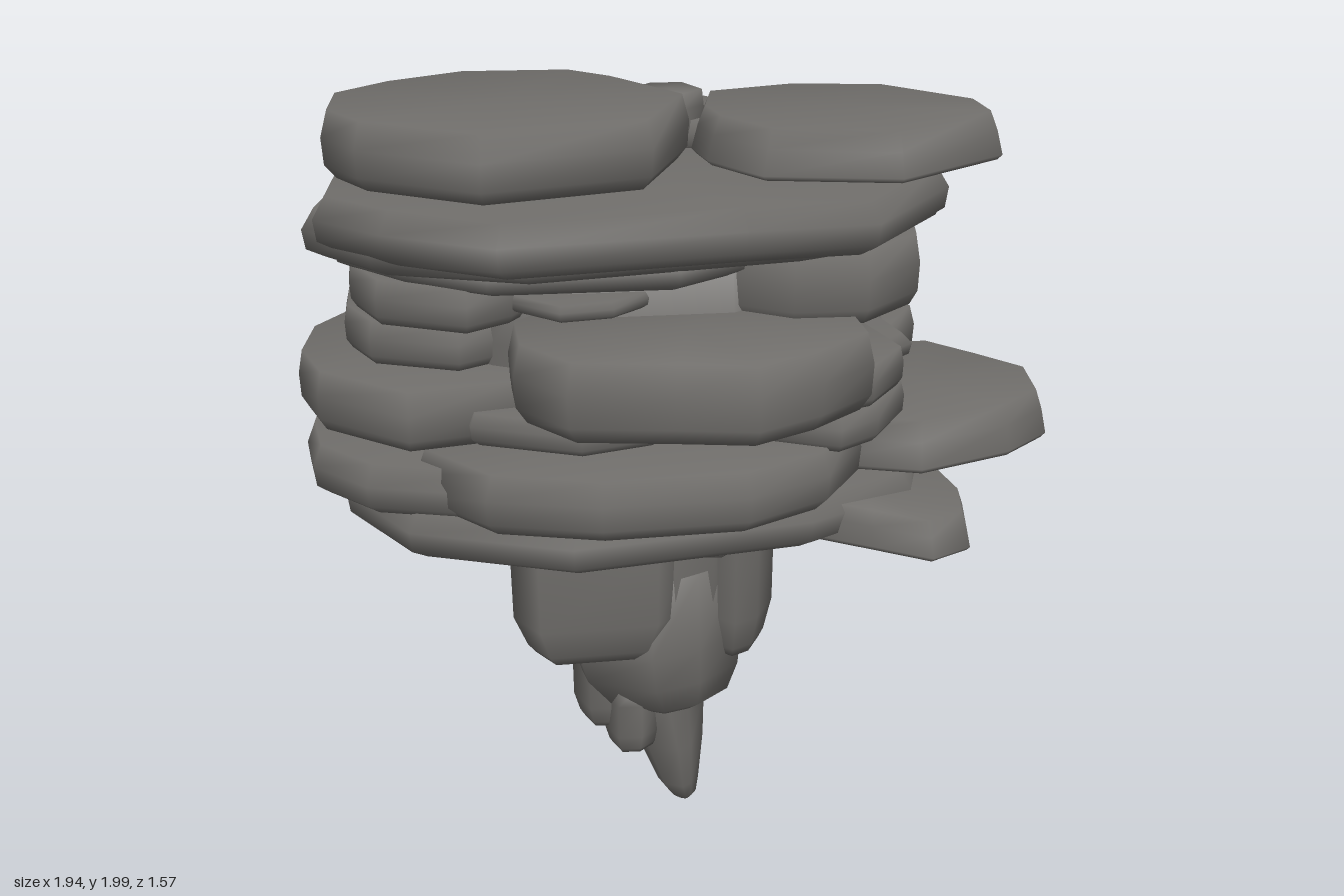
import * as THREE from 'three';

const stone = new THREE.MeshStandardMaterial({ color: 0x706e6b });
stone.name = 'stone grey';

// Skins an [x, z] outline through layers of [y, scale, shiftX, shiftZ]; tilt is the rise along x and z
function loft(name, outline, layers, tilt = [0, 0]) {
  const n = outline.length;
  let area = 0;
  outline.forEach(([x, z], i) => {
    const [u, w] = outline[(i + 1) % n];
    area += x * w - u * z;
  });
  const pts = area < 0 ? [...outline].reverse() : outline;
  const mid = (k) => {
    const v = pts.map((p) => p[k]);
    return (Math.min(...v) + Math.max(...v)) / 2;
  };
  const cx = mid(0), cz = mid(1);
  const pos = [], index = [];
  const add = (x, y, z) => pos.push(x, y + tilt[0] * (x - cx) + tilt[1] * (z - cz), z);
  for (const [y, s, dx = 0, dz = 0] of layers) {
    for (const [x, z] of pts) add(cx + (x - cx) * s + dx, y, cz + (z - cz) * s + dz);
  }
  const first = layers[0], last = layers[layers.length - 1];
  for (const [y, , dx = 0, dz = 0] of [first, last]) add(cx + dx, y, cz + dz);
  const low = layers.length * n, high = low + 1, top = low - n;
  for (let i = 0; i < n; i++) {
    const j = (i + 1) % n;
    for (let k = 0; k < top; k += n) {
      index.push(k + i, k + n + i, k + j, k + j, k + n + i, k + n + j);
    }
    index.push(low, i, j, high, top + j, top + i);
  }
  const geo = new THREE.BufferGeometry();
  geo.setAttribute('position', new THREE.Float32BufferAttribute(pos, 3));
  geo.setIndex(index);
  geo.computeVertexNormals();
  const mesh = new THREE.Mesh(geo, stone);
  mesh.name = name;
  return mesh;
}

// Flat slab with softly worn edges
const worn = [[0, 0.93], [0.2, 0.99], [0.6, 1], [1, 0.96]];
// Slab whose sides lean in towards the top
const leaning = [[0, 0.97], [0.1, 1], [0.6, 0.96], [1, 0.91]];
function slab(name, y0, y1, outline, tilt, profile = worn) {
  return loft(name, outline, profile.map(([t, s]) => [y0 + (y1 - y0) * t, s]), tilt);
}

// Irregular many-sided outline inside a box
function blob(x0, x1, z0, z1, sides = 9, turn = 0.3) {
  return Array.from({ length: sides }, (_, i) => {
    const a = turn + (i / sides) * Math.PI * 2 + 0.12 * Math.sin(i * 2.3 + turn);
    const r = 1.03 + 0.05 * Math.sin(i * 3.7 + turn * 5);
    return [(x0 + x1) / 2 + (x1 - x0) / 2 * r * Math.cos(a), (z0 + z1) / 2 + (z1 - z0) / 2 * r * Math.sin(a)];
  });
}

export function createModel() {
  const model = new THREE.Group();
  model.name = 'floatingRock';

  // Cap stones
  const cap = new THREE.Group();
  cap.name = 'capStones';
  cap.add(
    slab('leftCapSlab', 1.83, 1.99, [[-0.7, -0.24], [-0.49, -0.35], [-0.21, -0.32], [-0.12, -0.2], [0, 0.09],
      [-0.17, 0.41], [-0.58, 0.49], [-0.83, 0.28], [-0.89, 0.12], [-0.85, -0.1]], [-0.01, 0]),
    slab('rightCapSlab', 1.82, 1.94, [[0.1, -0.2], [0.35, -0.25], [0.6, -0.18], [0.77, 0.1], [0.75, 0.27],
      [0.42, 0.46], [0.11, 0.35], [0.03, 0.15], [0.03, 0]], [0, 0], leaning),
    slab('backCapSlab', 1.81, 1.89, [[-0.22, -0.32], [-0.15, -0.4], [0, -0.44], [0.16, -0.4], [0.24, -0.25],
      [0.18, -0.05], [-0.15, -0.05]]),
    slab('capPebble', 1.86, 1.96, blob(-0.09, 0.09, -0.23, -0.03, 6), [0, 0], leaning),
  );

  // Broad upper ledge, in two layers
  const upper = new THREE.Group();
  upper.name = 'upperLedge';
  upper.add(
    slab('upperLedgeTop', 1.69, 1.82, [[-0.64, -0.38], [-0.39, -0.49], [0.2, -0.44], [0.4, -0.3], [0.58, 0.1],
      [0.6, 0.3], [0.31, 0.61], [0, 0.6], [-0.57, 0.61], [-0.8, 0.42], [-0.93, 0.24], [-0.88, 0]]),
    slab('upperLedgeBase', 1.65, 1.77, [[-0.64, -0.5], [-0.42, -0.58], [0.22, -0.53], [0.4, -0.4], [0.56, -0.1],
      [0.62, 0.2], [0.35, 0.48], [-0.5, 0.52], [-0.82, 0.35], [-0.95, 0.14], [-0.86, -0.14]]),
  );

  // Broken stones in the middle
  const middle = new THREE.Group();
  middle.name = 'middleStones';
  middle.add(
    slab('middleCore', 0.98, 1.72, blob(-0.6, 0.42, -0.36, 0.36, 11)),
    slab('underLedgeSlab', 1.6, 1.68, blob(-0.83, 0.3, -0.42, 0.46, 11)),
    slab('rightUpperStone', 1.49, 1.67, blob(-0.06, 0.57, -0.22, 0.48, 9, 0.6)),
    slab('backUpperStone', 1.54, 1.66, blob(-0.1, 0.54, -0.42, 0.15, 8)),
    slab('leftUpperStone', 1.5, 1.61, blob(-0.84, -0.36, -0.28, 0.34, 9)),
    slab('rightMiddleStone', 1.45, 1.6, blob(0.25, 0.63, -0.32, 0.18, 8)),
    slab('frontLooseStone', 1.53, 1.57, blob(-0.5, -0.14, 0.1, 0.42, 7)),
    slab('frontBoulder', 1.32, 1.51, [[-0.5, 0.3], [-0.52, 0.48], [-0.43, 0.65], [-0.2, 0.72], [-0.02, 0.78],
      [0.15, 0.71], [0.31, 0.6], [0.33, 0.4], [0.2, 0.15], [-0.3, 0.12]]),
    slab('leftMiddleStone', 1.37, 1.48, blob(-0.85, -0.36, -0.33, 0.22, 9)),
    slab('backMiddleStone', 1.39, 1.47, blob(-0.22, 0.24, -0.47, -0.05, 8)),
    slab('rightFrontStone', 1.3, 1.4, blob(0.05, 0.46, 0.05, 0.56, 8)),
    slab('coreSeam', 1.29, 1.36, blob(-0.66, 0.56, -0.42, 0.46, 11)),
    slab('backLowerStone', 1.24, 1.38, [[-0.58, -0.53], [-0.43, -0.66], [-0.2, -0.64], [0.05, -0.67], [0.28, -0.68],
      [0.48, -0.48], [0.6, -0.34], [0.56, 0.02], [0.2, 0.1], [-0.5, 0]]),
    slab('leftLowerStone', 1.22, 1.37, [[-0.78, -0.42], [-0.92, -0.25], [-0.97, -0.05], [-0.94, 0.14], [-0.75, 0.36],
      [-0.48, 0.34], [-0.4, 0], [-0.5, -0.4]]),
    slab('rightLowerStone', 1.2, 1.3, blob(0.02, 0.48, -0.05, 0.55, 9)),
    slab('frontLowerStone', 1.23, 1.31, blob(-0.62, 0.0, 0.05, 0.5, 8)),
  );

  // Wide lower ledge
  const lower = new THREE.Group();
  lower.name = 'lowerLedge';
  lower.add(
    slab('backRightSlab', 1.09, 1.235, [[0.02, -0.68], [0.11, -0.78], [0.61, -0.79], [0.75, -0.58], [0.83, -0.45],
      [0.6, -0.14], [0.2, -0.05], [0, -0.3]]),
    slab('rightSlab', 1.08, 1.21, [[0.3, -0.15], [0.55, -0.25], [0.78, -0.23], [0.88, -0.08], [0.97, 0.07],
      [0.92, 0.27], [0.77, 0.38], [0.5, 0.46], [0.25, 0.35]], [-0.02, 0], leaning),
    slab('frontSlab', 1.06, 1.21, [[-0.73, 0.3], [-0.6, 0.52], [-0.35, 0.63], [0, 0.66], [0.22, 0.57], [0.36, 0.4],
      [0.3, -0.1], [-0.5, -0.1]]),
    slab('leftSlab', 1.06, 1.19, [[-0.96, -0.06], [-0.91, -0.3], [-0.6, -0.6], [-0.3, -0.64], [0.1, -0.5],
      [0.1, 0.2], [-0.55, 0.46], [-0.85, 0.3], [-0.96, 0.12]], [0.03, 0]),
    slab('baseSlab', 0.94, 1.07, [[-0.88, 0.05], [-0.86, -0.25], [-0.58, -0.63], [-0.38, -0.72], [0.06, -0.69],
      [0.4, -0.52], [0.58, -0.2], [0.64, 0.1], [0.5, 0.4], [0.2, 0.52], [-0.4, 0.54], [-0.76, 0.34]], [0, -0.01]),
    slab('baseFrontStone', 0.93, 1.03, [[0.1, 0.38], [0.35, 0.53], [0.48, 0.61], [0.6, 0.55], [0.65, 0.4],
      [0.64, 0.15], [0.2, 0.1]], [-0.08, -0.04], leaning),
    slab('undersideDisc', 0.92, 0.99, blob(-0.62, 0.5, -0.52, 0.45, 11)),
  );

  // Hanging root of rock, tapering to a point
  const root = new THREE.Group();
  root.name = 'hangingRoot';
  const hang = (name, y0, y1, outline, foot = 0.82) => {
    const h = y1 - y0;
    return loft(name, outline, [[y0, foot * 0.88], [y0 + h * 0.06, foot], [y0 + h * 0.25, 0.98], [y0 + h * 0.7, 1], [y1, 0.97]]);
  };
  root.add(
    hang('rootCore', 0.42, 0.98, blob(-0.3, 0.17, -0.24, 0.2, 9), 0.75),
    hang('frontLeftBlock', 0.53, 0.98, [[-0.48, 0.1], [-0.43, 0.22], [-0.12, 0.25], [-0.02, 0.17], [-0.03, -0.08],
      [-0.42, -0.1]]),
    hang('leftBackBlock', 0.46, 0.96, blob(-0.44, -0.1, -0.29, 0.08, 7)),
    hang('backBlock', 0.43, 0.96, blob(-0.28, 0.16, -0.33, 0, 8)),
    hang('rightBlock', 0.48, 0.96, blob(0, 0.24, -0.2, 0.2, 8)),
    hang('rightColumn', 0.47, 0.91, blob(0.17, 0.25, -0.06, 0.03, 6)),
    hang('backRightKnob', 0.43, 0.56, blob(0.02, 0.2, -0.31, -0.1, 6)),
    hang('backColumn', 0.74, 0.95, blob(0.04, 0.2, -0.3, -0.14, 6)),
    hang('frontRightColumn', 0.8, 0.95, blob(-0.02, 0.12, 0.08, 0.23, 6)),
    loft('lowerFrontBlock', blob(-0.32, 0.14, -0.14, 0.22, 8),
      [[0.325, 0.52, 0.03], [0.35, 0.72, 0.03], [0.43, 0.92, 0.01], [0.53, 1], [0.75, 0.96]]),
    hang('lowerLeftKnob', 0.27, 0.52, blob(-0.3, -0.12, -0.08, 0.1, 6)),
    hang('lowerFrontKnob', 0.21, 0.42, blob(-0.23, -0.08, 0.0, 0.15, 6)),
    loft('rootTip', blob(-0.2, 0.06, -0.19, 0.14, 9), [[0, 0.12, 0.07, 0.06], [0.02, 0.27, 0.065, 0.06],
      [0.07, 0.42, 0.05, 0.06], [0.2, 0.68, 0.03, 0.04], [0.33, 0.95, 0.005, 0], [0.55, 1]]),
  );

  model.add(cap, upper, middle, lower, root);
  return model;
}
